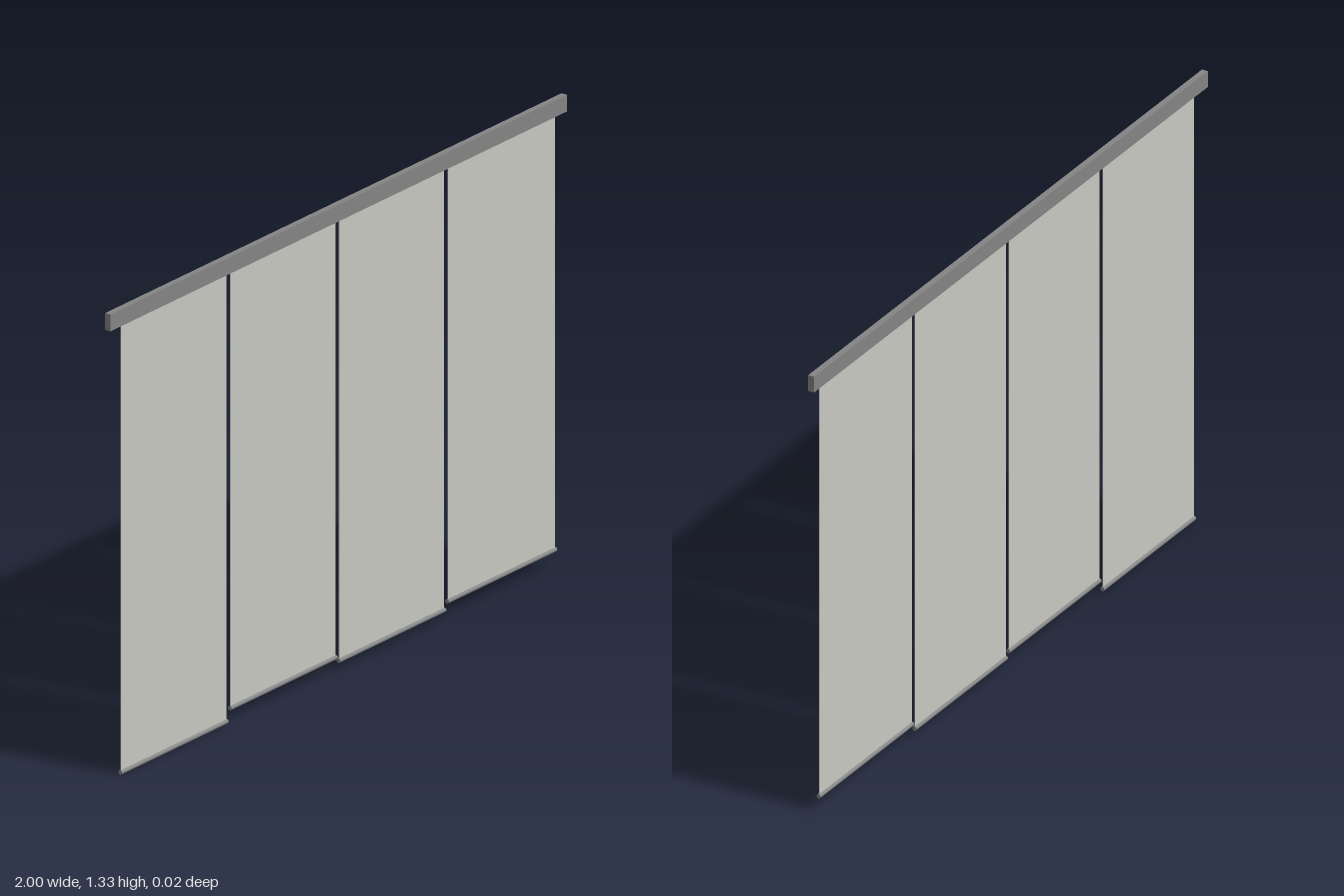
import * as THREE from 'three';

export function createModel() {
  const model = new THREE.Group();
  model.name = 'panelBlind';

  const metal = new THREE.MeshStandardMaterial({ color: 0x848484 });
  metal.name = 'grey metal';
  const fabric = new THREE.MeshStandardMaterial({ color: 0xc8c8c2 });
  fabric.name = 'pale grey fabric';

  const add = (parent, name, geometry, material, x, y) => {
    const mesh = new THREE.Mesh(geometry, material);
    mesh.name = name;
    mesh.position.set(x, y, 0);
    parent.add(mesh);
  };

  // Head rail
  const railBottom = 1.288, railTop = 1.336;
  add(model, 'headRail', new THREE.BoxGeometry(2, railTop - railBottom, 0.018),
    metal, 0, (railBottom + railTop) / 2);

  // Hanging panels: left edge, right edge, height of the weight rod
  const panels = [
    [-0.943, -0.481, 0.008],
    [-0.463, -0.003, 0.041],
    [0.013, 0.473, 0.027],
    [0.489, 0.959, 0.047],
  ];
  const rodRadius = 0.0065;
  panels.forEach(([x0, x1, rodY], i) => {
    const panel = new THREE.Group();
    panel.name = `panel${i + 1}`;
    const x = (x0 + x1) / 2, width = x1 - x0;

    // Thin fabric sheet from rail to rod
    add(panel, 'fabricSheet', new THREE.BoxGeometry(width, railBottom - rodY, 0.002),
      fabric, x, (railBottom + rodY) / 2);

    // Round weight rod along the hem
    const rod = new THREE.CylinderGeometry(rodRadius, rodRadius, width + 0.005, 16);
    rod.rotateZ(Math.PI / 2);
    add(panel, 'weightRod', rod, metal, x, rodY);
    model.add(panel);
  });

  return model;
}
